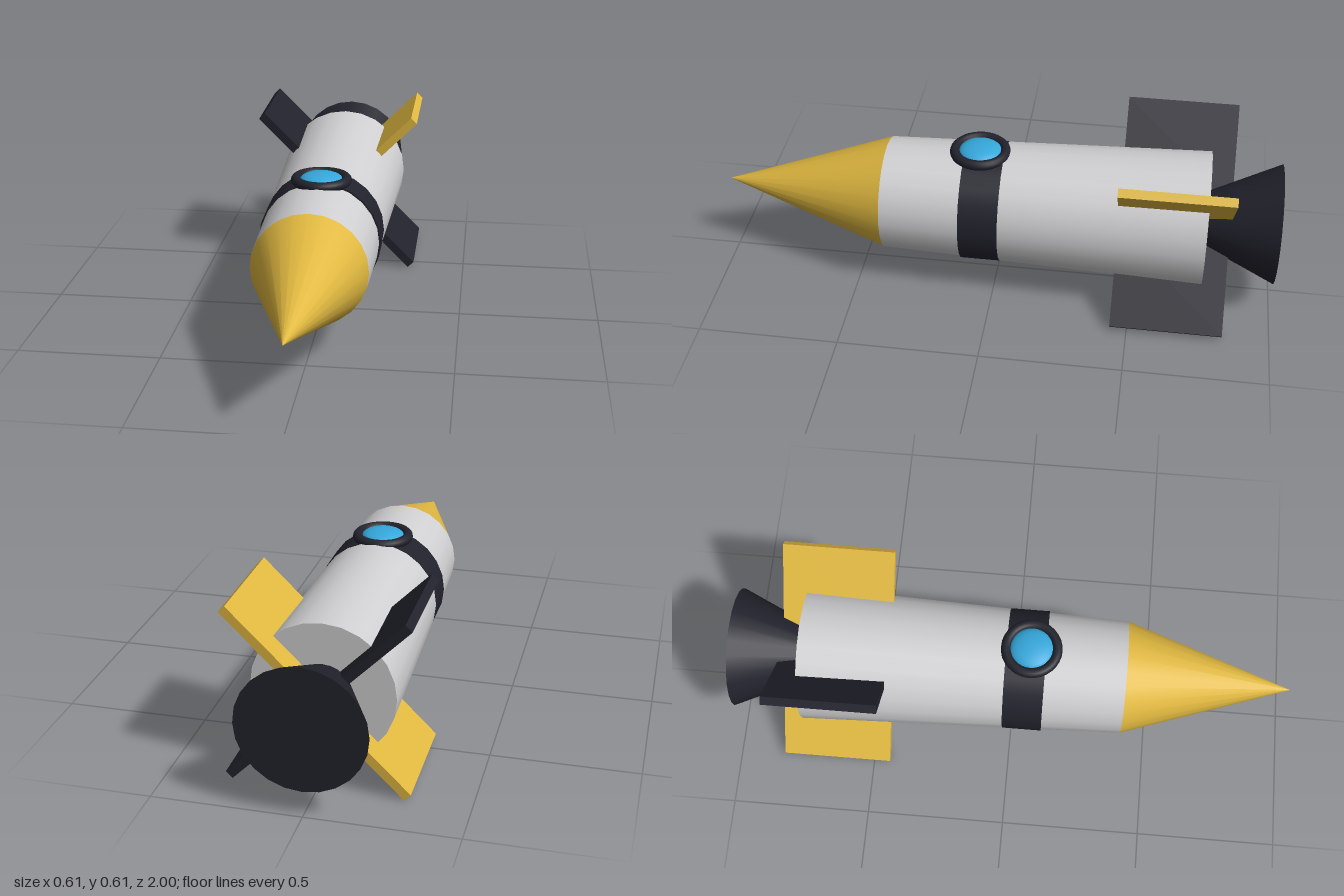
import * as THREE from 'three';

const CENTRE_Y = 0.305;
const SIDES = 24;

function material(name, color) {
  const m = new THREE.MeshStandardMaterial({ color });
  m.name = name;
  return m;
}

export function createModel() {
  const hull = material('light grey', 0xd0d0d2);
  const gold = material('gold', 0xe0b840);
  const dark = material('dark navy', 0x22222d);
  const blue = material('window blue', 0x35a8dc);

  const rocket = new THREE.Group();
  rocket.name = 'rocket';

  function add(name, geometry, mat) {
    const mesh = new THREE.Mesh(geometry, mat);
    mesh.name = name;
    rocket.add(mesh);
    return mesh;
  }

  // Tapered round section lying along z, from zBack to zFront
  function section(name, rFront, rBack, zFront, zBack, mat) {
    const g = new THREE.CylinderGeometry(rFront, rBack, zFront - zBack, SIDES);
    g.rotateX(Math.PI / 2);
    g.translate(0, CENTRE_Y, (zFront + zBack) / 2);
    return add(name, g, mat);
  }

  section('body', 0.2025, 0.24, 0.4, -0.75, hull);
  section('noseCone', 0, 0.2025, 1, 0.4, gold);
  section('band', 0.2175, 0.2175, 0.115, -0.025, dark);
  section('nozzle', 0.09, 0.214, -0.73, -1, dark);

  // Four diagonal fins, alternating in colour
  const inner = 0.07, outer = 0.416;
  for (let i = 0; i < 4; i++) {
    const g = new THREE.BoxGeometry(outer - inner, 0.031, 0.395);
    g.translate((outer + inner) / 2, 0, 0);
    const fin = add('fin' + (i + 1), g, i % 2 === 0 ? gold : dark);
    fin.rotation.z = Math.PI / 4 + i * Math.PI / 2;
    fin.position.set(0, CENTRE_Y, -0.6375);
  }

  // Round window on top of the hull
  const ring = add('windowRing', new THREE.TorusGeometry(0.09, 0.018, 12, 32), dark);
  ring.rotation.x = Math.PI / 2;
  ring.position.set(0, 0.517, 0.063);

  const glass = add('windowGlass', new THREE.SphereGeometry(0.077, 24, 12), blue);
  glass.scale.y = 0.34;
  glass.position.set(0, 0.517, 0.063);

  return rocket;
}
